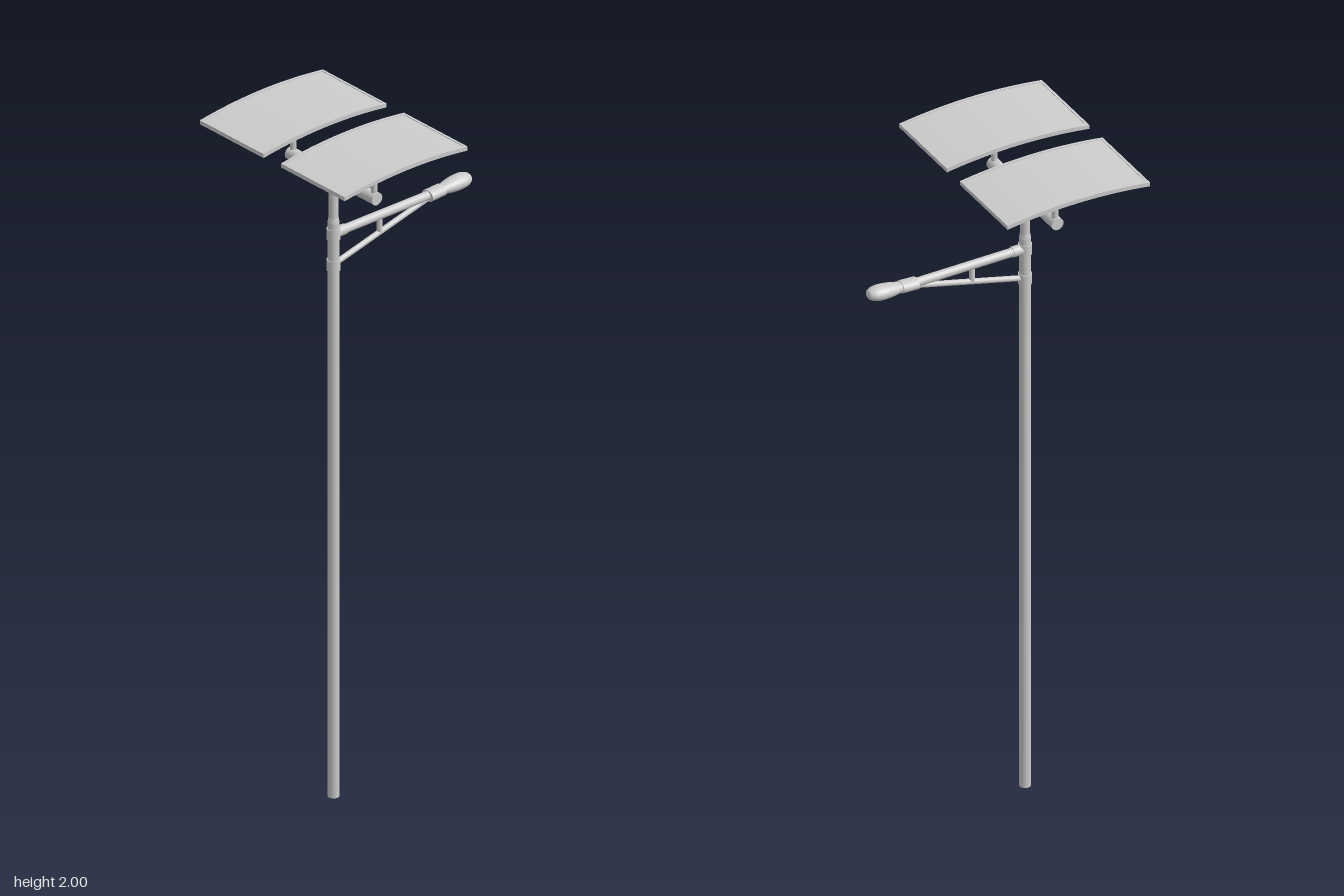
import * as THREE from 'three';

const POLE_X = -0.132;
const V = (x, y, z = 0) => new THREE.Vector3(x, y, z);

export function createModel() {
  const model = new THREE.Group();
  const mat = new THREE.MeshStandardMaterial({ color: 0xcccccc });

  const add = (name, geo, parent = model) => {
    const mesh = new THREE.Mesh(geo, mat);
    mesh.name = name;
    parent.add(mesh);
    return mesh;
  };

  // Round bar between two points
  const bar = (name, a, b, r, rEnd = r, parent = model) => {
    const dir = b.clone().sub(a);
    const mesh = add(name, new THREE.CylinderGeometry(rEnd, r, dir.length(), 20), parent);
    mesh.position.copy(a).add(b).multiplyScalar(0.5);
    mesh.quaternion.setFromUnitVectors(V(0, 1, 0), dir.normalize());
    return mesh;
  };

  // Pole: main shaft, taper and slimmer neck
  bar('poleShaft', V(POLE_X, 0), V(POLE_X, 1.72), 0.016);
  bar('poleTaper', V(POLE_X, 1.72), V(POLE_X, 1.735), 0.016, 0.0135);
  bar('poleNeck', V(POLE_X, 1.735), V(POLE_X, 1.85), 0.0135);
  bar('poleTopCollar', V(POLE_X, 1.815), V(POLE_X, 1.85), 0.016);

  // Cross tube carrying both panels
  bar('crossTube', V(POLE_X, 1.857, -0.175), V(POLE_X, 1.857, 0.175), 0.018);

  // Curved box: lowered with the square of its distance from the panel centre
  const curvedBox = (name, x, z, w, h, d, top, parent) => {
    const geo = new THREE.BoxGeometry(w, h, d, Math.max(1, Math.round(w * 48)), 1, 1);
    geo.translate(x, top - h / 2, z);
    const p = geo.attributes.position;
    for (let i = 0; i < p.count; i++) {
      p.setY(i, p.getY(i) - 0.016 * (p.getX(i) / 0.217) ** 2);
    }
    geo.computeVertexNormals();
    return add(name, geo, parent);
  };

  // Two solar panels with frame, support post and short brace
  for (const side of [1, -1]) {
    const panel = new THREE.Group();
    panel.name = side > 0 ? 'frontPanel' : 'backPanel';
    panel.position.set(POLE_X + 0.001, 0, side * 0.1625);
    model.add(panel);

    curvedBox('panelSurface', 0, 0, 0.42, 0.008, 0.242, 1.998, panel);
    for (const s of [1, -1]) {
      curvedBox('longFrame', 0, s * 0.1235, 0.434, 0.012, 0.008, 2, panel);
      curvedBox('shortFrame', s * 0.213, 0, 0.008, 0.012, 0.239, 2, panel);
    }
    bar('supportSleeve', V(0, 1.857), V(0, 1.95), 0.009, 0.009, panel);
    bar('supportPost', V(0, 1.95), V(0, 1.992), 0.006, 0.006, panel);
    bar('supportBrace', V(0, 1.957), V(0.05, 1.989), 0.006, 0.006, panel);
  }

  // Lamp arm: upper tube, sloping strut and upright link
  const armY = 1.685;
  bar('armTube', V(POLE_X, armY), V(0.21, 1.682), 0.0125).scale.z = 1;
  bar('armSocket', V(POLE_X, armY), V(-0.092, armY), 0.015);
  bar('armStrut', V(POLE_X, 1.592), V(0.21, 1.676), 0.008);
  bar('armLink', V(0.03, 1.632), V(0.03, armY), 0.008);

  // Bands clamping the arm to the pole
  for (const y of [1.592, armY]) {
    bar('poleBand', V(POLE_X, y - 0.016), V(POLE_X, y + 0.016), 0.0185);
  }

  // Lamp: sleeve and rounded head turned about the arm axis, flattened in height
  const lamp = new THREE.Group();
  lamp.name = 'lamp';
  lamp.position.set(0.2, 1.681, 0);
  lamp.rotation.z = 0.045;
  model.add(lamp);

  const turned = (name, pts, flat) => {
    const geo = new THREE.LatheGeometry(pts.map(([r, l]) => new THREE.Vector2(r, l)), 28);
    geo.rotateZ(-Math.PI / 2);
    geo.scale(1, flat, 1);
    return add(name, geo, lamp);
  };
  const sleeve = bar('lampSleeve', V(0, 0), V(0.048, 0), 0.0225, 0.0225, lamp);
  sleeve.scale.x = 0.72;

  const profile = new THREE.SplineCurve([
    [0.018, 0.044], [0.019, 0.055], [0.024, 0.078], [0.0265, 0.105],
    [0.0245, 0.127], [0.017, 0.142], [0.008, 0.147], [0, 0.148],
  ].map(([r, l]) => new THREE.Vector2(r, l))).getPoints(28)
    .map((p) => [Math.max(0, p.x), p.y]);
  turned('lampHead', profile, 0.78);

  return model;
}
